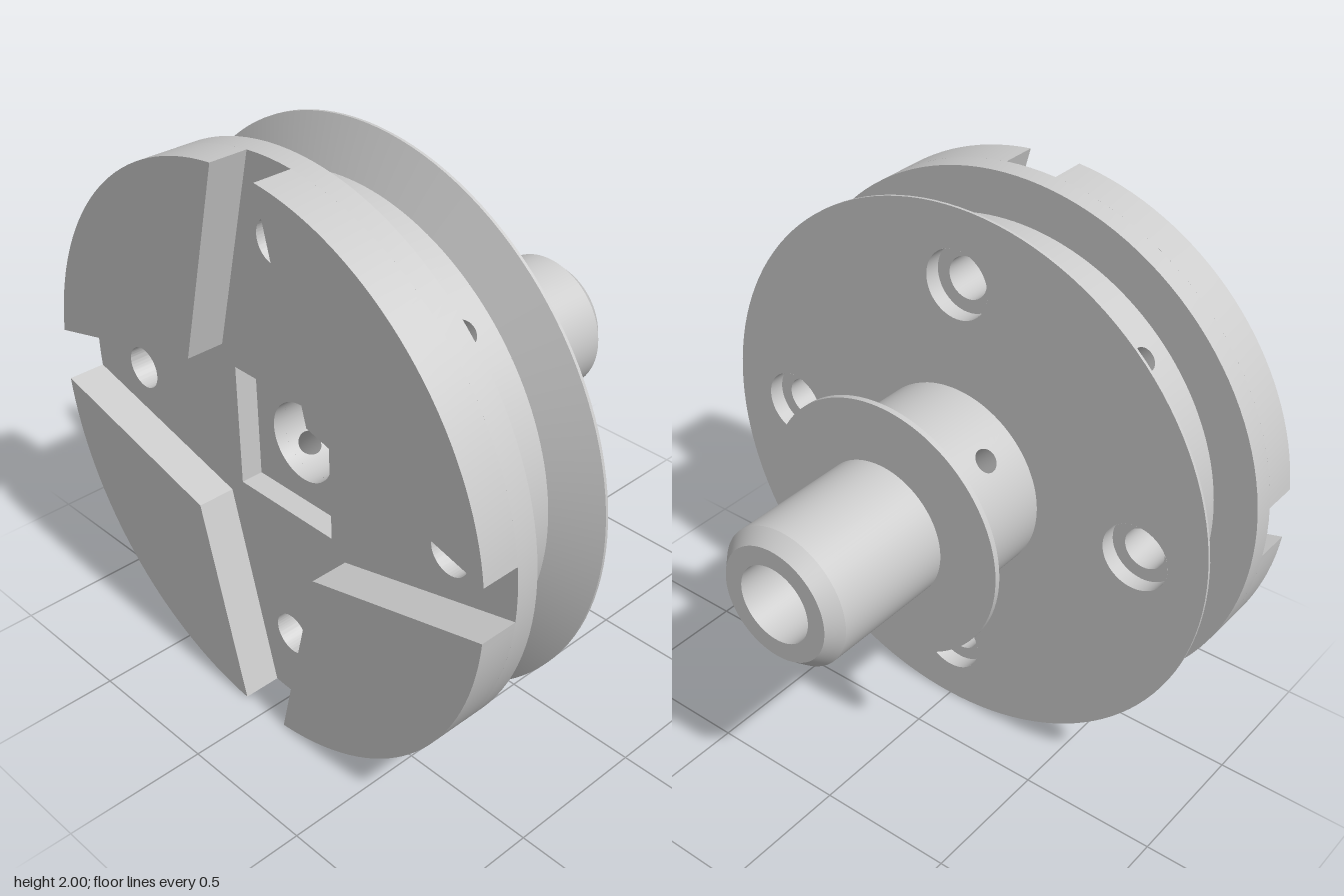
import * as THREE from 'three';
import { mergeGeometries, toCreasedNormals } from 'three/addons/utils/BufferGeometryUtils.js';

const BORE = 0.14, PIN = 0.042, BOLT = 0.075, SINK = 0.123, BOLT_R = 0.735;
const QUARTERS = [0, 1, 2, 3].map((k) => (k * Math.PI) / 2);
const grey = new THREE.MeshStandardMaterial({ color: 0xcccccc, side: THREE.DoubleSide });

// Sharp-edged surface of revolution about x; profile is a list of [x, radius]
function revolve(profile, start = 0, length = Math.PI * 2, segments = 128) {
  const bands = [];
  for (let i = 0; i + 1 < profile.length; i++) {
    const pts = [profile[i], profile[i + 1]].map(([x, r]) => new THREE.Vector2(r, x));
    bands.push(new THREE.LatheGeometry(pts, segments, start - Math.PI / 2, length).rotateZ(-Math.PI / 2));
  }
  return mergeGeometries(bands);
}

// Square piece of cylinder wall around a round hole, centred at angle phi
function holedPatch(R, xc, half, phi) {
  const N = 32, M = 6, pos = [], nor = [], index = [];
  for (let j = 0; j <= M; j++) {
    for (let i = 0; i <= N; i++) {
      const t = (i / N) * Math.PI * 2, c = Math.cos(t), s = Math.sin(t);
      const edge = half / Math.max(Math.abs(c), Math.abs(s));
      const d = PIN + (edge - PIN) * (j / M);
      const a = phi + (d * c) / R;
      pos.push(xc + d * s, R * Math.cos(a), R * Math.sin(a));
      nor.push(0, Math.cos(a), Math.sin(a));
      if (i < N && j < M) {
        const p = j * (N + 1) + i, q = p + N + 1;
        index.push(p, q, q + 1, p, q + 1, p + 1);
      }
    }
  }
  const g = new THREE.BufferGeometry();
  g.setAttribute('position', new THREE.Float32BufferAttribute(pos, 3));
  g.setAttribute('normal', new THREE.Float32BufferAttribute(nor, 3));
  g.setIndex(index);
  return g;
}

// Cylinder wall pierced by four diagonal holes
function piercedWall(R, x0, x1) {
  const half = (x1 - x0) / 2, a = half / R, parts = [];
  for (const q of QUARTERS) {
    const phi = q + Math.PI / 4;
    const patch = holedPatch(R, (x0 + x1) / 2, half, phi);
    patch.deleteAttribute('uv');
    const strip = revolve([[x0, R], [x1, R]], phi + a, Math.PI / 2 - 2 * a, 32);
    strip.deleteAttribute('uv');
    parts.push(patch, strip);
  }
  return mergeGeometries(parts);
}

// Four radial drillings running from the bore out to radius R
function radialHoles(R, xc) {
  return mergeGeometries(QUARTERS.map((q) => {
    const g = new THREE.CylinderGeometry(PIN, PIN, 1, 32, 1, true);
    const p = g.attributes.position;
    for (let i = 0; i < p.count; i++) {
      const r = p.getY(i) > 0 ? R : BORE;
      p.setY(i, Math.sqrt(r * r - p.getZ(i) ** 2));
    }
    return g.rotateX(q + Math.PI / 4).translate(xc, 0, 0);
  }));
}

const circle = (r, x = 0, y = 0, Kind = THREE.Path) => new Kind().absarc(x, y, r, 0, Math.PI * 2, false);
const boltCircles = (r) => QUARTERS.map((q) => circle(r, BOLT_R * Math.cos(q), BOLT_R * Math.sin(q)));
const squarePoints = (h) => [[-h, -h], [h, -h], [h, h], [-h, h]].map(([x, y]) => new THREE.Vector2(x, y));

function withHoles(shape, holes) {
  shape.holes.push(...holes);
  return shape;
}

function flatFace(shape, x) {
  return new THREE.ShapeGeometry(shape, 64).rotateY(Math.PI / 2).translate(x, 0, 0);
}

function slab(shape, x0, x1, curveSegments) {
  const g = new THREE.ExtrudeGeometry(shape, { depth: x1 - x0, bevelEnabled: false, curveSegments });
  return toCreasedNormals(g.rotateY(Math.PI / 2).translate(x0, 0, 0), 0.5);
}

export function createModel() {
  const model = new THREE.Group();
  const body = new THREE.Group();
  body.name = 'body';
  body.position.y = 1;
  model.add(body);
  const add = (name, geometry) => {
    const mesh = new THREE.Mesh(geometry, grey);
    mesh.name = name;
    body.add(mesh);
    return mesh;
  };

  // Four raised jaws leaving a cross slot that widens toward the centre
  const t = Math.asin(0.097);
  const jaw = new THREE.Shape();
  jaw.moveTo(0.28, 0.28);
  jaw.lineTo(Math.cos(t), Math.sin(t));
  jaw.absarc(0, 0, 1, t, Math.PI / 2 - t, false);
  jaw.closePath();
  const jawGeometry = slab(jaw, -0.71, -0.575, 16);
  for (const q of QUARTERS) add('slotJaw', jawGeometry).rotation.x = q;

  // Base plate with square pocket and bolt holes
  const plate = withHoles(circle(1, 0, 0, THREE.Shape),
    [new THREE.Path(squarePoints(0.22)), ...boltCircles(BOLT)]);
  add('basePlate', slab(plate, -0.575, -0.495, 64));
  add('pocketFloor', flatFace(withHoles(new THREE.Shape(squarePoints(0.22)), [circle(BORE)]), -0.495));

  // Large grooved hub and its flange
  add('largeHub', piercedWall(0.84, -0.495, -0.27));
  add('largeHubHoles', radialHoles(0.84, -0.3825));
  add('largeFlange', revolve([[-0.27, 0.84], [-0.2, 1], [-0.19, 1]]));
  const face = withHoles(circle(1, 0, 0, THREE.Shape), [circle(0.35), ...boltCircles(SINK)]);
  add('flangeFace', flatFace(face, -0.19));

  // Stepped bolt holes
  const bolt = revolve([[-0.495, BOLT], [-0.25, BOLT], [-0.25, SINK], [-0.19, SINK]], 0, Math.PI * 2, 48);
  for (const q of QUARTERS) {
    add('boltHole', bolt).position.set(0, BOLT_R * Math.cos(q), BOLT_R * Math.sin(q));
  }

  // Small grooved hub, flange and chamfered shaft
  add('smallHub', piercedWall(0.35, -0.19, 0.115));
  add('smallHubHoles', radialHoles(0.35, -0.0375));
  add('smallFlange', revolve([[0.115, 0.35], [0.18, 0.47], [0.2, 0.47], [0.2, 0.25]]));
  add('shaft', revolve([[0.2, 0.25], [0.66, 0.25], [0.71, 0.207], [0.71, BORE]]));

  // Central bore, pierced where the radial holes enter
  add('bore', revolve([[-0.495, BORE], [-0.4525, BORE]]));
  add('bore', piercedWall(BORE, -0.4525, -0.3125));
  add('bore', revolve([[-0.3125, BORE], [-0.1075, BORE]]));
  add('bore', piercedWall(BORE, -0.1075, 0.0325));
  add('bore', revolve([[0.0325, BORE], [0.71, BORE]]));

  return model;
}
